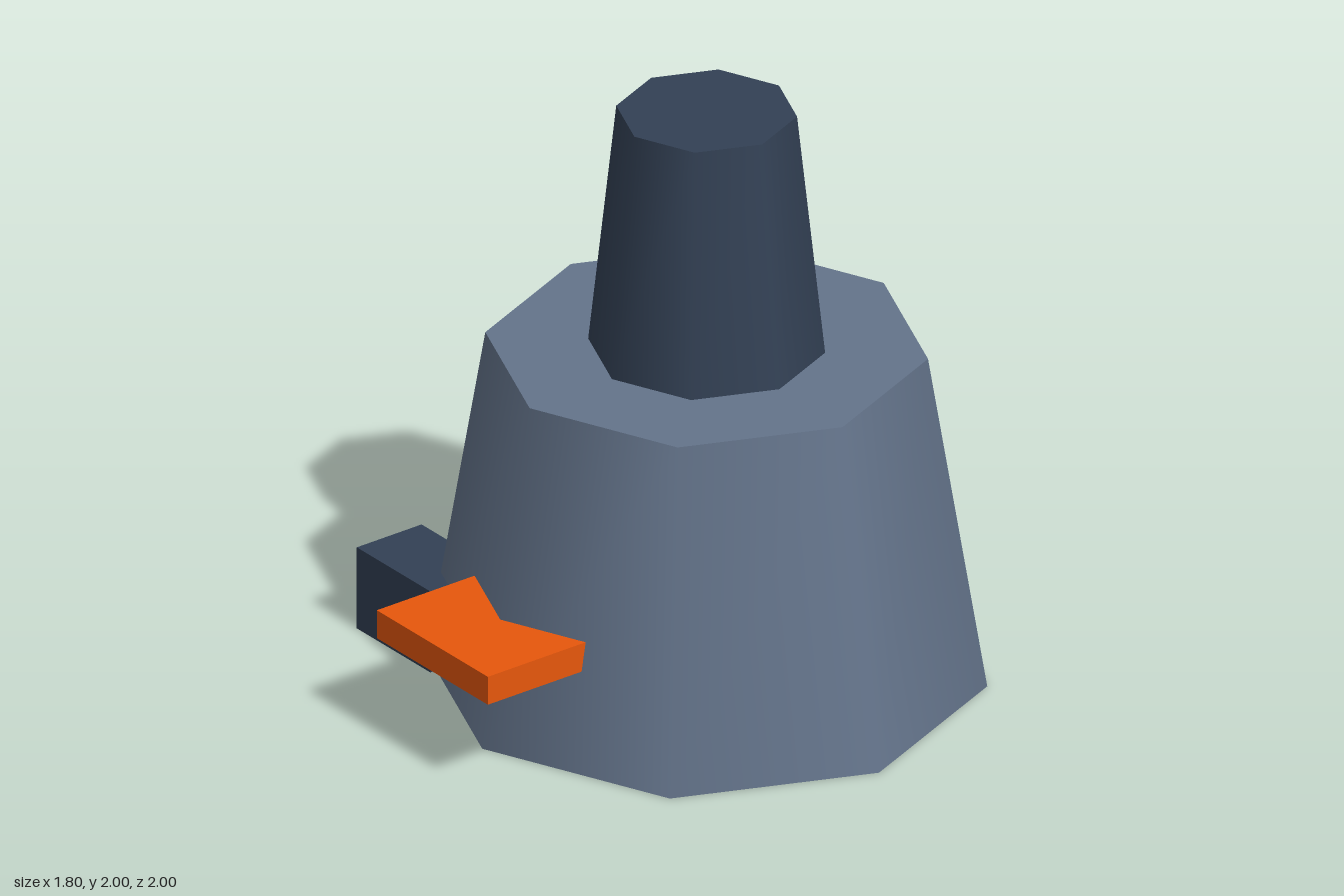
import * as THREE from 'three';

export function createModel() {
  const group = new THREE.Group();
  const material = (name, color) => {
    const m = new THREE.MeshStandardMaterial({ color });
    m.name = name;
    return m;
  };
  const slate = material('slate grey', 0x64748b);
  const dark = material('dark slate', 0x334155);
  const orange = material('ember orange', 0xea580c);

  const add = (name, geometry, mat, x, y, z) => {
    const mesh = new THREE.Mesh(geometry, mat);
    mesh.name = name;
    mesh.position.set(x, y, z);
    group.add(mesh);
  };

  // Tapered eight-sided body with the chimney on top, both smooth-shaded
  add('furnaceBody', new THREE.CylinderGeometry(0.71, 0.9, 1.16, 8), slate, 0, 0.58, -0.1);
  add('chimney', new THREE.CylinderGeometry(0.29, 0.38, 0.84, 8), dark, 0, 1.58, -0.1);

  // Glowing spout running out of the front
  add('spout', new THREE.BoxGeometry(0.58, 0.1, 0.58), orange, 0, 0.39, 0.71);

  // Block standing against the front right of the base
  add('sideBlock', new THREE.BoxGeometry(0.385, 0.29, 0.26), dark, -0.71, 0.145, 0.48);

  return group;
}
